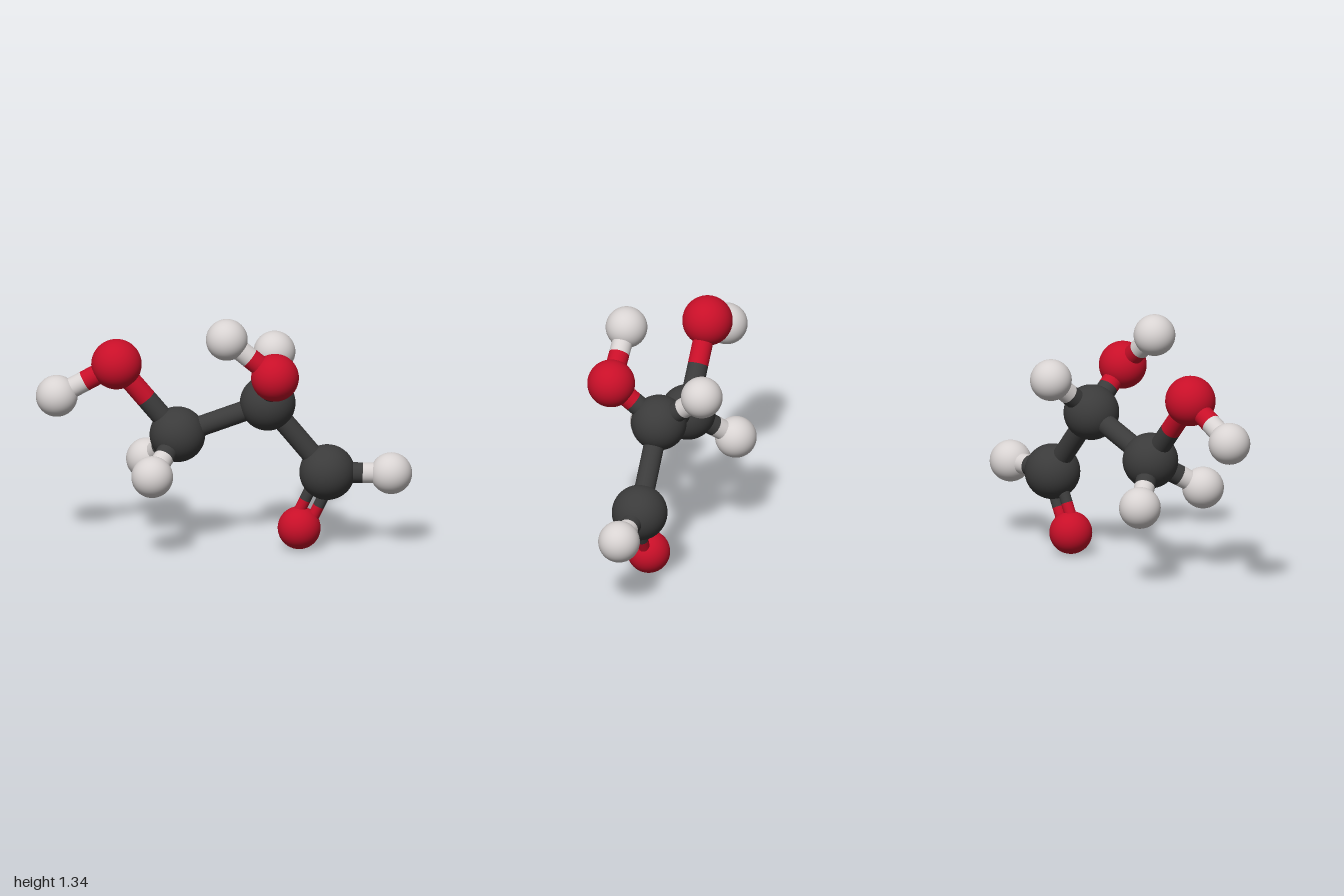
import * as THREE from 'three';

const MATERIALS = {
  carbon: new THREE.MeshStandardMaterial({ name: 'charcoal', color: 0x3b3b3b }),
  oxygen: new THREE.MeshStandardMaterial({ name: 'red', color: 0xc80f28 }),
  hydrogen: new THREE.MeshStandardMaterial({ name: 'pale grey', color: 0xd8d3d2 }),
};

// Atoms: element, radius, centre
const ATOMS = {
  endCarbon: ['carbon', 0.148, [-0.248, 0.63, -0.008]],
  middleCarbon: ['carbon', 0.148, [0.231, 0.804, -0.008]],
  aldehydeCarbon: ['carbon', 0.148, [0.547, 0.421, -0.008]],
  endOxygen: ['oxygen', 0.134, [-0.572, 1.017, -0.008]],
  middleOxygen: ['oxygen', 0.127, [0.27, 1.015, 0.246]],
  doubleBondOxygen: ['oxygen', 0.114, [0.398, 0.114, -0.008]],
  endHydroxylHydrogen: ['hydrogen', 0.111, [-0.889, 0.842, -0.008]],
  middleHydroxylHydrogen: ['hydrogen', 0.111, [0.014, 1.225, 0.247]],
  middleHydrogen: ['hydrogen', 0.111, [0.267, 1.014, -0.261]],
  aldehydeHydrogen: ['hydrogen', 0.111, [0.887, 0.415, -0.008]],
  frontHydrogen: ['hydrogen', 0.111, [-0.382, 0.466, 0.245]],
  backHydrogen: ['hydrogen', 0.111, [-0.41, 0.436, -0.222]],
};

const SINGLE_BONDS = [
  ['endCarbon', 'middleCarbon'],
  ['middleCarbon', 'aldehydeCarbon'],
  ['endCarbon', 'endOxygen'],
  ['middleCarbon', 'middleOxygen'],
  ['endOxygen', 'endHydroxylHydrogen'],
  ['middleOxygen', 'middleHydroxylHydrogen'],
  ['middleCarbon', 'middleHydrogen'],
  ['aldehydeCarbon', 'aldehydeHydrogen'],
  ['endCarbon', 'frontHydrogen'],
  ['endCarbon', 'backHydrogen'],
];

const UP = new THREE.Vector3(0, 1, 0);

// Open cylinder running between two points
function rod(start, end, radius, material, name) {
  const along = end.clone().sub(start);
  const geometry = new THREE.CylinderGeometry(radius, radius, along.length(), 32, 1, true);
  const mesh = new THREE.Mesh(geometry, material);
  mesh.position.copy(start).add(end).multiplyScalar(0.5);
  mesh.quaternion.setFromUnitVectors(UP, along.normalize());
  mesh.name = name;
  return mesh;
}

// Bond that changes colour halfway between the two atom surfaces
function bond(from, to, radius, offset = 0) {
  const [elementA, radiusA, centreA] = ATOMS[from];
  const [elementB, radiusB, centreB] = ATOMS[to];
  const a = new THREE.Vector3(...centreA);
  const b = new THREE.Vector3(...centreB);
  const length = a.distanceTo(b);
  const direction = b.clone().sub(a).normalize();
  const sideways = new THREE.Vector3(-direction.y, direction.x, 0).multiplyScalar(offset);
  a.add(sideways);
  b.add(sideways);
  const split = a.clone().addScaledVector(direction, (radiusA + length - radiusB) / 2);

  const group = new THREE.Group();
  group.name = `${from} to ${to} bond`;
  group.add(
    rod(a, split, radius, MATERIALS[elementA], `${elementA}BondHalf`),
    rod(split, b, radius, MATERIALS[elementB], `${elementB}BondHalf`),
  );
  return group;
}

export function createModel() {
  const model = new THREE.Group();
  model.name = 'ballAndStickMolecule';

  // Atom balls
  for (const [name, [element, radius, centre]] of Object.entries(ATOMS)) {
    const ball = new THREE.Mesh(new THREE.SphereGeometry(radius, 48, 32), MATERIALS[element]);
    ball.position.set(...centre);
    ball.name = name;
    model.add(ball);
  }

  // Single bonds
  for (const [from, to] of SINGLE_BONDS) model.add(bond(from, to, 0.055));

  // Double bond: two thin rods side by side
  for (const offset of [-0.04, 0.04]) {
    model.add(bond('aldehydeCarbon', 'doubleBondOxygen', 0.031, offset));
  }

  return model;
}
